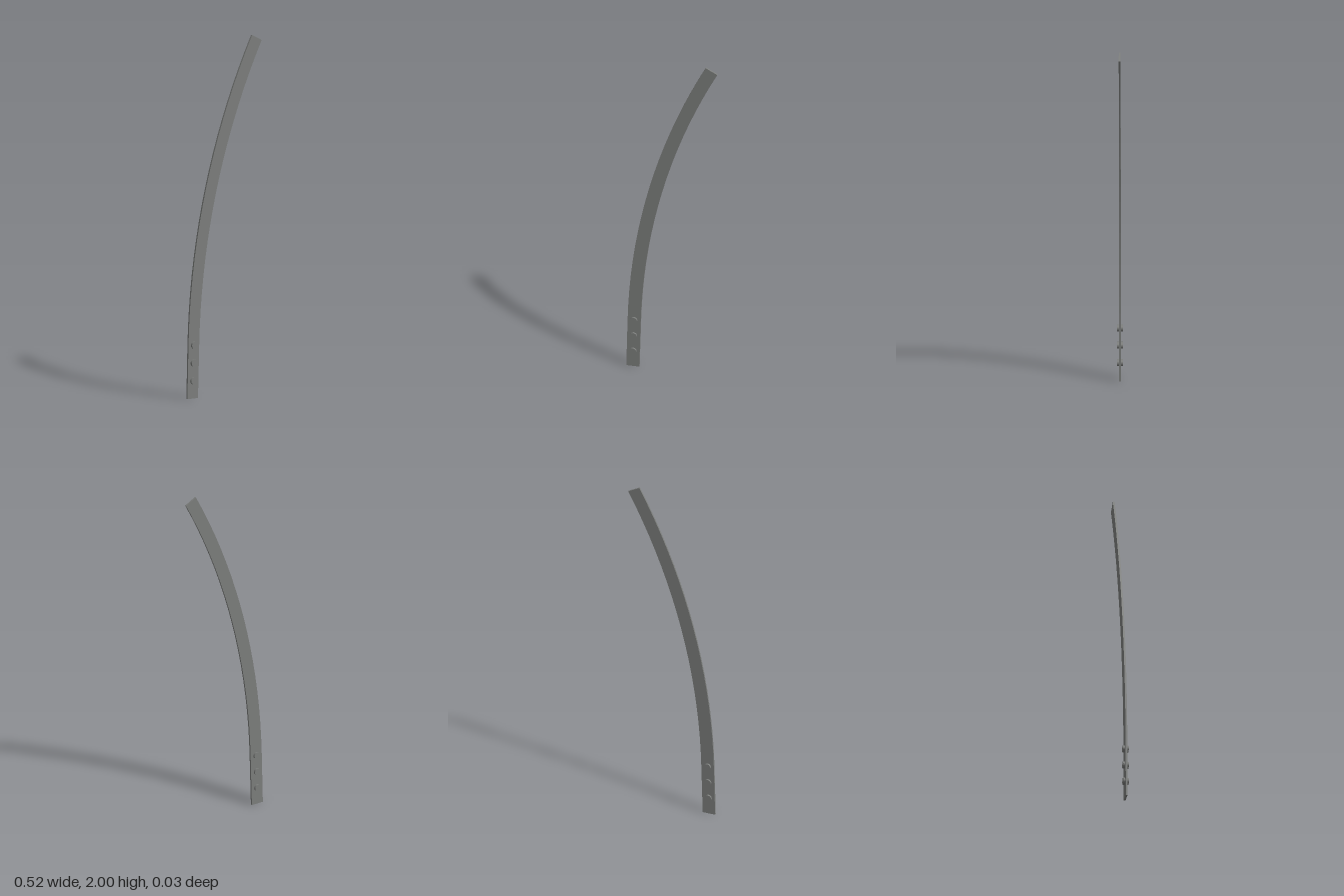
import * as THREE from 'three';

export function createModel() {
  const model = new THREE.Group();
  model.name = 'curvedBar';
  const steel = new THREE.MeshStandardMaterial({ color: 0x7b7d7b });
  steel.name = 'grey steel';

  // Centre line side: a nearly upright foot running into a circular bend
  const width = 0.075, thickness = 0.01;
  const startLean = 0.025, endLean = 0.487, bendStart = 0.3, radius = 3.837;
  const outer = [new THREE.Vector2(-0.259, 0)];
  const inner = [new THREE.Vector2(-0.185, 0)];
  const steps = 18;
  for (let i = 0; i <= steps; i++) {
    const a = THREE.MathUtils.lerp(startLean, endLean, i / steps);
    const x = -0.2515 + radius * (Math.cos(startLean) - Math.cos(a));
    const y = bendStart + radius * (Math.sin(a) - Math.sin(startLean));
    outer.push(new THREE.Vector2(x, y));
    inner.push(new THREE.Vector2(x + width * Math.cos(a), y - width * Math.sin(a)));
  }

  // Flat bent strip
  const outline = new THREE.Shape([...inner, ...outer.reverse()]);
  const strip = new THREE.ExtrudeGeometry(outline, { depth: thickness, bevelEnabled: false });
  strip.translate(0, 0, -thickness / 2);
  const bar = new THREE.Mesh(strip, steel);
  bar.name = 'bentStrip';
  model.add(bar);

  // Pins passing through the foot
  const pinGeometry = new THREE.CylinderGeometry(0.02, 0.02, 0.032, 12);
  pinGeometry.rotateX(Math.PI / 2);
  for (let i = 0; i < 3; i++) {
    const pin = new THREE.Mesh(pinGeometry, steel);
    pin.name = 'pin' + (i + 1);
    const y = 0.1 * (i + 1);
    pin.position.set(-0.2225 + startLean * y, y, 0);
    model.add(pin);
  }
  return model;
}
